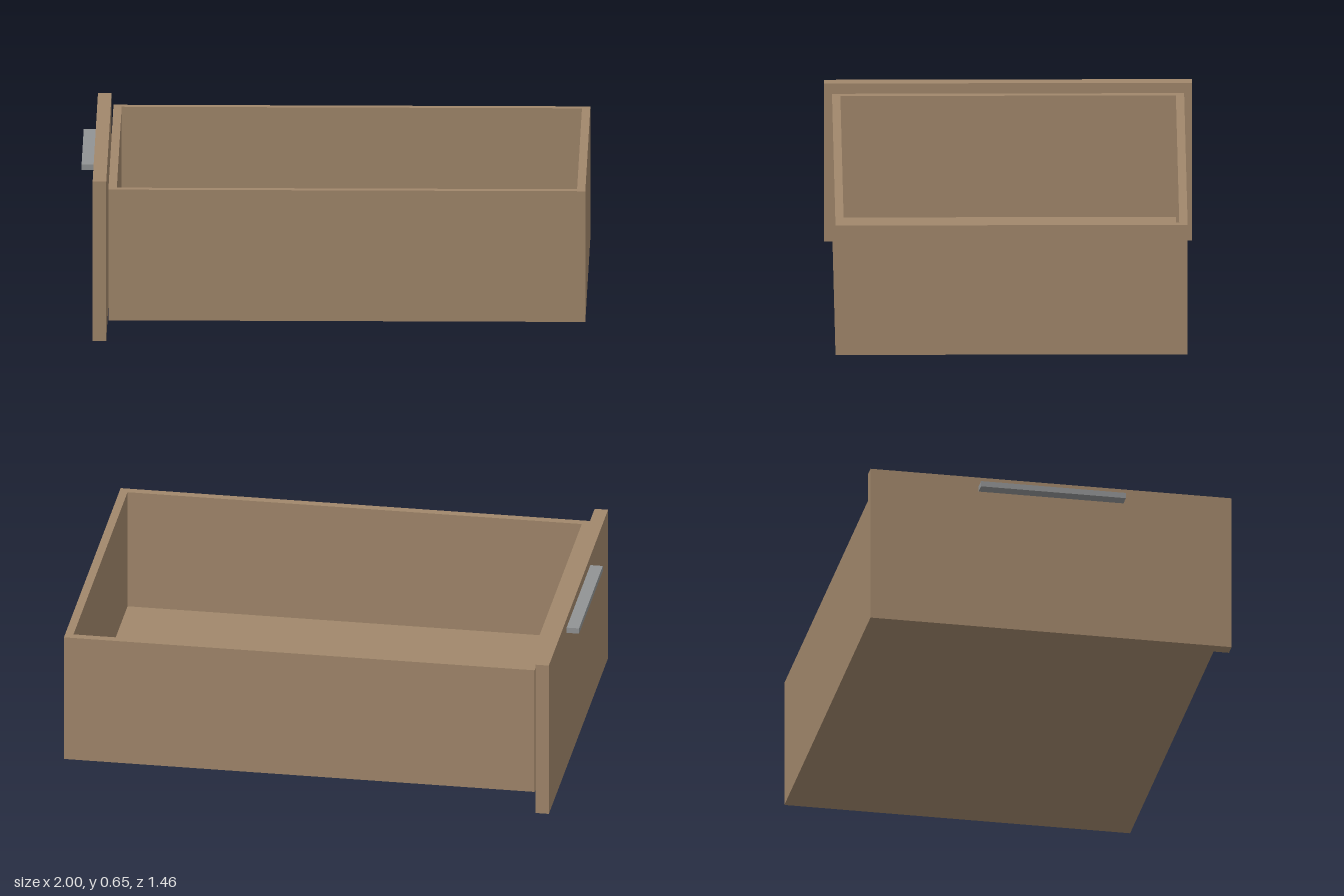
import * as THREE from 'three';

export function createModel() {
  const model = new THREE.Group();
  model.name = 'drawer';

  const wood = new THREE.MeshStandardMaterial({ color: 0xa1876b });
  wood.name = 'wood';
  const metal = new THREE.MeshStandardMaterial({ color: 0x919394 });
  metal.name = 'grey metal';

  // Box given by its extents along each axis
  function panel(name, material, [x0, x1], [y0, y1], [z0, z1]) {
    const mesh = new THREE.Mesh(new THREE.BoxGeometry(x1 - x0, y1 - y0, z1 - z0), material);
    mesh.position.set((x0 + x1) / 2, (y0 + y1) / 2, (z0 + z1) / 2);
    mesh.name = name;
    model.add(mesh);
  }

  const t = 0.033; // board thickness
  const x0 = -0.888, x1 = 1; // box length
  const y0 = 0.077, y1 = 0.61; // box height
  const w = 0.697; // half width
  const floor = y0 + t;

  // Open box: floor, two long sides, two end boards between them
  panel('bottomBoard', wood, [x0, x1], [y0, floor], [-w, w]);
  panel('sideBoardFront', wood, [x0, x1], [floor, y1], [w - t, w]);
  panel('sideBoardBack', wood, [x0, x1], [floor, y1], [-w, -w + t]);
  panel('innerEndBoard', wood, [x0, x0 + t], [floor, y1], [-w + t, w - t]);
  panel('outerEndBoard', wood, [x1 - t, x1], [floor, y1], [-w + t, w - t]);

  // Face panel, set slightly off the box, with its pull
  panel('facePanel', wood, [-0.95, -0.896], [0, 0.65], [-0.728, 0.728]);
  panel('handle', metal, [-1, -0.95], [0.589, 0.612], [-0.292, 0.292]);

  return model;
}
